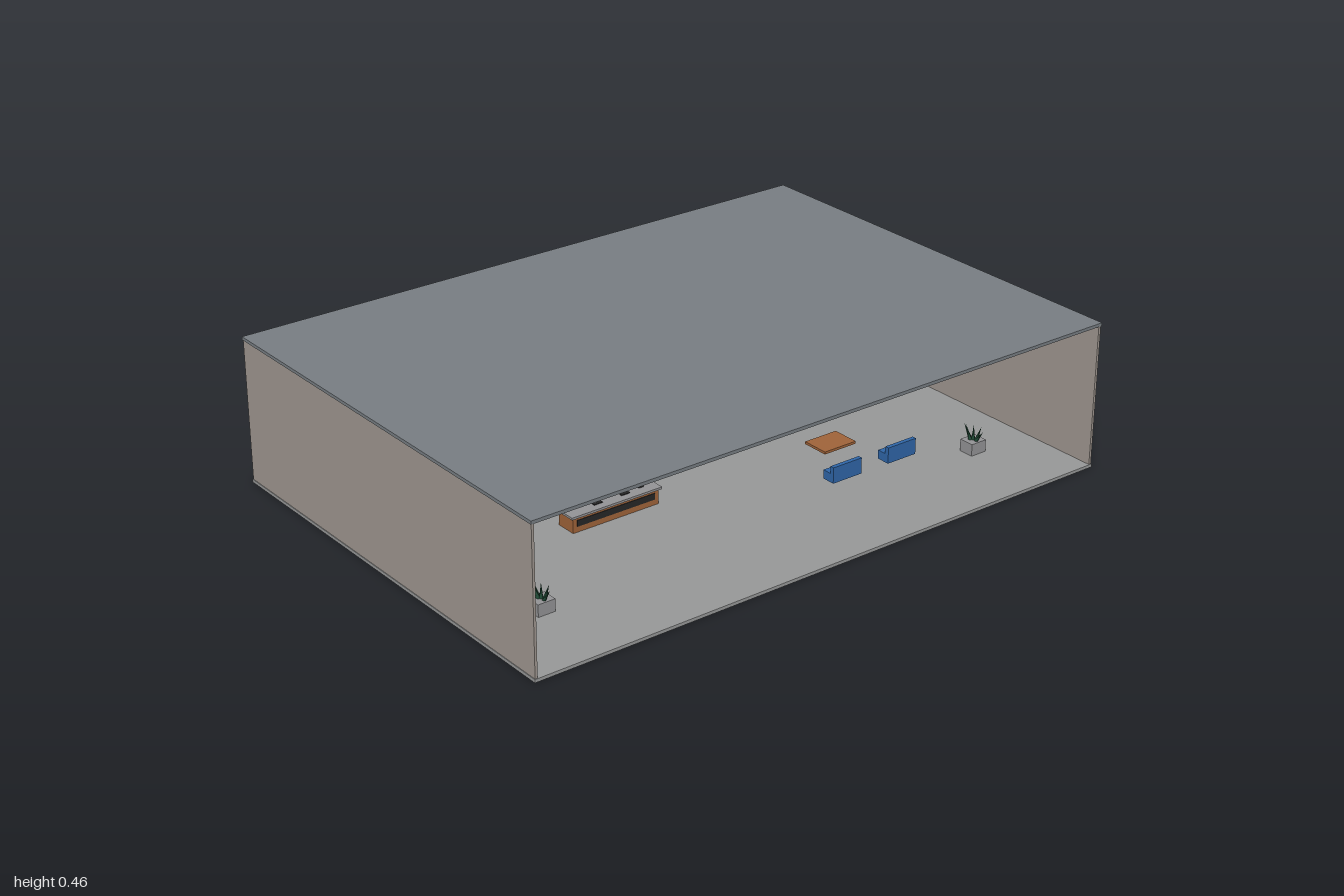
import * as THREE from 'three';

const mat = (color) => new THREE.MeshStandardMaterial({ color });
const M = {
  grey: mat(0x949496), floor: mat(0x989999), wall: mat(0xa19891), roof: mat(0x787e83),
  dark: mat(0x262626), wood: mat(0xa0643a), blue: mat(0x2f66a8), teal: mat(0x1f646b),
  glass: mat(0x475d6e), leaf: mat(0x1f4a35), light: mat(0x9a9a98),
};

const W = 1, D = 0.713, H = 0.462, SLAB = 0.01, T = 0.008, INSET = 0.002;

// Box given by its low and high limits on each axis
function box(parent, name, m, [x0, x1], [y0, y1], [z0, z1]) {
  const mesh = new THREE.Mesh(new THREE.BoxGeometry(x1 - x0, y1 - y0, z1 - z0), m);
  mesh.position.set((x0 + x1) / 2, (y0 + y1) / 2, (z0 + z1) / 2);
  mesh.name = name;
  parent.add(mesh);
}

function group(parent, name, x = 0, y = 0, z = 0) {
  const g = new THREE.Group();
  g.name = name;
  g.position.set(x, y, z);
  parent.add(g);
  return g;
}

// Open-fronted room with a doorway in the back wall, walls set just inside the slabs
function addShell(root) {
  const g = group(root, 'shell'), top = H - SLAB, y = [SLAB, top];
  const w = W - INSET, back = -D + INSET;
  box(g, 'floor', M.floor, [-W, W], [0, SLAB], [-D, D]);
  box(g, 'roof', M.roof, [-W, W], [top, H], [-D, D]);
  box(g, 'leftWall', M.wall, [w - T, w], y, [back, D - INSET]);
  box(g, 'rightWall', M.wall, [-w, -w + T], y, [back, D - INSET]);
  const z = [back, back + T];
  box(g, 'backWallLeft', M.grey, [0.105, w - T], y, z);
  box(g, 'backWallRight', M.grey, [-w + T, -0.105], y, z);
  box(g, 'doorHeader', M.grey, [-0.108, 0.105], [0.29, top], [back, back + T + 0.004]);
}

// Reception desk with two monitors
function addDesk(root) {
  const g = group(root, 'receptionDesk', -0.312, SLAB, 0.1);
  box(g, 'deskBody', M.wood, [-0.15, 0.15], [0, 0.047], [-0.034, 0.034]);
  box(g, 'deskTop', M.grey, [-0.158, 0.158], [0.047, 0.054], [-0.041, 0.041]);
  box(g, 'deskFrontPanel', M.dark, [-0.136, 0.136], [0.018, 0.038], [0.034, 0.036]);
  for (const x of [-0.048, 0.048]) {
    box(g, 'monitorBase', M.dark, [x - 0.012, x + 0.012], [0.054, 0.056], [-0.02, -0.004]);
    box(g, 'monitorStand', M.dark, [x - 0.002, x + 0.002], [0.056, 0.072], [-0.014, -0.011]);
    box(g, 'monitor', M.dark, [x - 0.017, x + 0.017], [0.069, 0.09], [-0.015, -0.011]);
    box(g, 'monitorScreen', M.teal, [x - 0.016, x + 0.016], [0.07, 0.089], [-0.011, -0.01]);
    box(g, 'keyboard', M.dark, [x - 0.015, x + 0.015], [0.054, 0.056], [0.006, 0.016]);
  }
  box(g, 'deskPhone', M.dark, [0.1, 0.116], [0.054, 0.06], [-0.005, 0.008]);
}

// Seat with its backrest toward the front
function addSofa(root, x, z) {
  const g = group(root, 'sofa', x, 0.02, z);
  box(g, 'sofaSeat', M.blue, [-0.054, 0.054], [0, 0.028], [-0.022, 0.008]);
  box(g, 'sofaBack', M.blue, [-0.054, 0.054], [0, 0.051], [0.008, 0.022]);
}

// Dark cabinet with a glass gate on its left
function addTurnstile(root, x) {
  const g = group(root, 'turnstile', x, SLAB, -0.34);
  box(g, 'turnstileCabinet', M.dark, [-0.007, 0.007], [0, 0.052], [-0.055, 0.055]);
  box(g, 'turnstileGate', M.glass, [0.007, 0.047], [0.017, 0.049], [-0.003, 0.003]);
}

// Square pot with leaves fanned from front to back
function addPlant(root, x, z) {
  const g = group(root, 'pottedPlant', x, SLAB, z);
  box(g, 'pot', M.grey, [-0.028, 0.028], [0, 0.038], [-0.025, 0.025]);
  const leafGeo = new THREE.ConeGeometry(0.006, 0.05, 6).translate(0, 0.025, 0);
  for (let i = -2; i <= 2; i++) {
    const leaf = new THREE.Mesh(leafGeo, M.leaf);
    leaf.position.set((i % 2) * 0.006, 0.036, i * 0.006);
    leaf.rotation.set(i * 0.3, 0, -(i % 2) * 0.12);
    leaf.name = 'leaf';
    g.add(leaf);
  }
}

export function createModel() {
  const root = new THREE.Group();
  root.name = 'lobby';
  addShell(root);
  addDesk(root);

  // Lounge
  for (const x of [0.355, 0.567]) for (const z of [0.338, 0]) addSofa(root, x, z);
  box(root, 'coffeeTable', M.wood, [0.4, 0.52], [0.025, 0.033], [0.118, 0.208]);

  // Wall display
  const wallFace = -D + INSET + T;
  box(root, 'wallScreen', M.teal, [0.487, 0.767], [0.07, 0.235], [wallFace, wallFace + 0.008]);

  for (const x of [-0.105, 0, 0.105]) addTurnstile(root, x);
  for (const x of [-0.783, 0.783]) addPlant(root, x, 0.435);

  // Ceiling light panels
  for (let i = -2; i <= 2; i++) {
    for (const z of [-0.4, 0, 0.4]) {
      const x = i * 0.415;
      box(root, 'ceilingLight', M.light, [x - 0.1, x + 0.1], [0.448, 0.452], [z - 0.025, z + 0.025]);
    }
  }
  return root;
}
